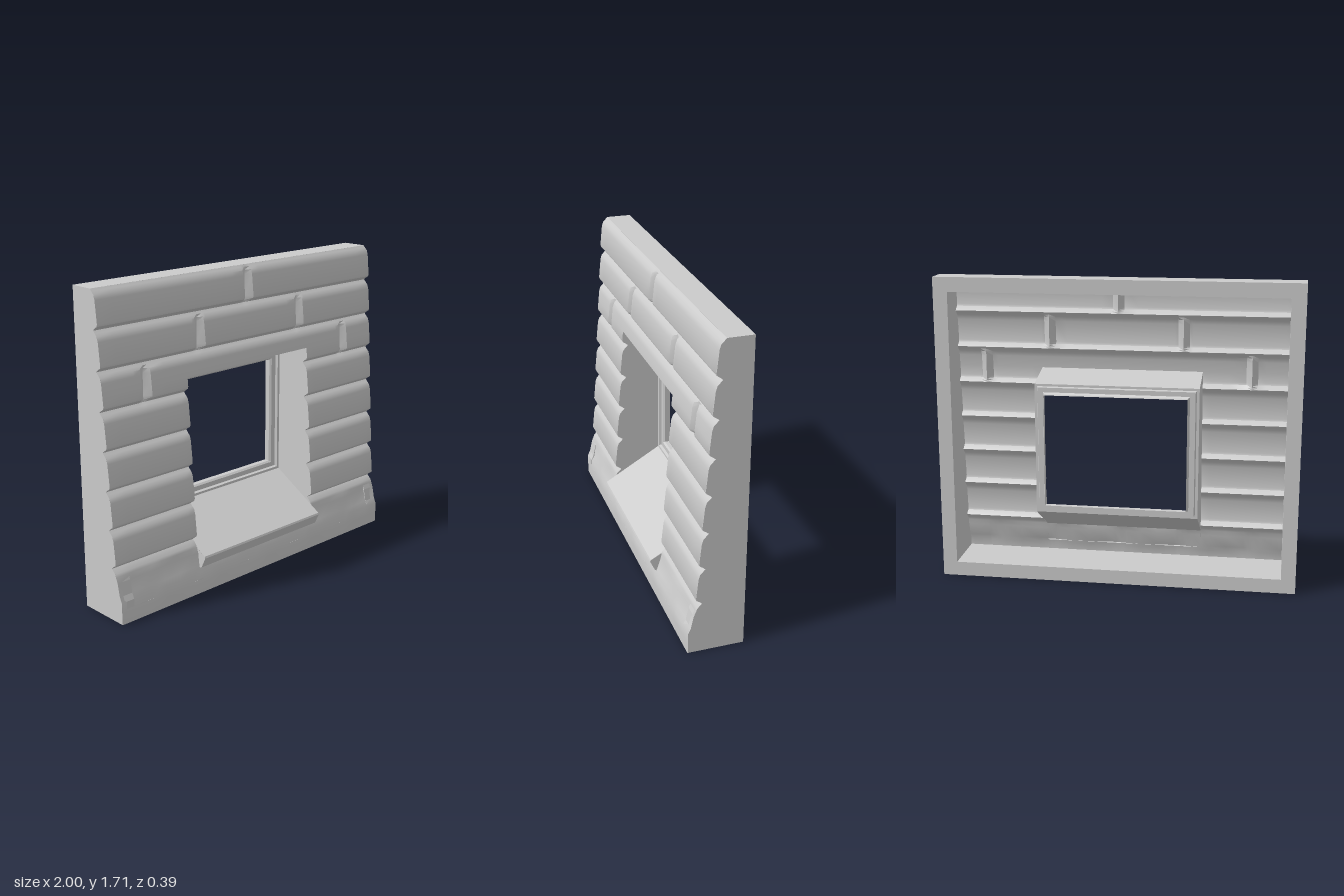
import * as THREE from 'three';
import { toCreasedNormals } from 'three/addons/utils/BufferGeometryUtils.js';

const BACK = -0.135, RIM = 0.08, TOP = 1.71;
const HOLE = { x0: -0.455, x1: 0.445, y0: 0.25, y1: 1.19 };
const FIRST = 0.29, COURSE = 0.203, COURSES = 7;

// Vertical joints between blocks, by course
const JOINTS = [[4, -0.725], [4, 0.76], [5, -0.35], [5, 0.395], [6, 0.01]];

const material = new THREE.MeshStandardMaterial({ color: 0xcccccc, side: THREE.DoubleSide });

// Side profile of the wall front as [y, z]: a base course, then leaning blocks with grooves
function wallProfile() {
  const p = [[0, 0.17], [0.06, 0.17], [0.12, 0.169], [0.15, 0.155], [0.22, 0.14], [0.265, 0.122]];
  for (let i = 0; i < COURSES; i++) {
    const y = FIRST + i * COURSE, z = 0.13 - i * 0.0132;
    p.push([y, z - 0.033], [y + 0.01, z - 0.022], [y + 0.022, z - 0.004], [y + 0.034, z],
      [y + 0.15, z - 0.012], [y + 0.175, z - 0.02], [y + 0.19, z - 0.035]);
  }
  p.push([TOP, 0.005]);
  return p;
}
const PROFILE = wallProfile();

function profileZ(y) {
  let i = 1;
  while (i < PROFILE.length - 1 && PROFILE[i][0] < y) i++;
  const [ya, za] = PROFILE[i - 1], [yb, zb] = PROFILE[i];
  return THREE.MathUtils.lerp(za, zb, (y - ya) / (yb - ya));
}

// Depth of the wall front at a point, with joints and a slightly worn base
function wallZ(x, y) {
  let z = profileZ(y);
  const course = Math.floor((y - FIRST) / COURSE + 1e-4);
  for (const [row, jx] of JOINTS) {
    const t = 1 - Math.abs(x - jx) / 0.032;
    const groove = 0.13 - row * 0.0132 - 0.036;
    if (row === course && t > 0) z = Math.min(z, THREE.MathUtils.lerp(z, groove, t));
  }
  if (y > 0.08 && y < 0.25 && Math.abs(x) < 0.99) z -= 0.005 * (1 + Math.sin(x * 17 + y * 25));
  return z;
}

// Surface from equal-length cross-sections of points
function loft(sections, closed = false) {
  const n = sections[0].length, index = [];
  for (let r = 0; r < sections.length - 1; r++) {
    for (let c = 0; c < (closed ? n : n - 1); c++) {
      const a = r * n + c, b = r * n + (c + 1) % n;
      index.push(a, b, b + n, a, b + n, a + n);
    }
  }
  const g = new THREE.BufferGeometry();
  g.setAttribute('position', new THREE.Float32BufferAttribute(sections.flat(2), 3));
  g.setIndex(index);
  return toCreasedNormals(g, 0.6);
}

function stoneFront() {
  const xs = [HOLE.x0, HOLE.x1];
  for (let i = 0; i <= 20; i++) xs.push(-1 + i * 0.1);
  for (const [, x] of JOINTS) xs.push(x - 0.032, x, x + 0.032);
  const ys = PROFILE.map(p => p[0]).concat(HOLE.y0, HOLE.y1);
  xs.sort((a, b) => a - b);
  ys.sort((a, b) => a - b);
  const pos = [], index = [], n = xs.length;
  for (const y of ys) for (const x of xs) pos.push(x, y, wallZ(x, y));
  for (let r = 0; r < ys.length - 1; r++) {
    for (let c = 0; c < n - 1; c++) {
      const mx = (xs[c] + xs[c + 1]) / 2, my = (ys[r] + ys[r + 1]) / 2;
      if (mx > HOLE.x0 && mx < HOLE.x1 && my > HOLE.y0 && my < HOLE.y1) continue;
      const a = r * n + c;
      index.push(a, a + 1, a + n + 1, a, a + n + 1, a + n);
    }
  }
  const g = new THREE.BufferGeometry();
  g.setAttribute('position', new THREE.Float32BufferAttribute(pos, 3));
  g.setIndex(index);
  return toCreasedNormals(g, 0.6);
}

// Shape in the side plane: [y, z] points, later turned so the shape's x becomes z
const sideShape = pts => new THREE.Shape(pts.map(([y, z]) => new THREE.Vector2(z, y)));

export function createModel() {
  const model = new THREE.Group();
  const add = (name, geometry, x = 0, y = 0, z = 0) => {
    const mesh = new THREE.Mesh(geometry, material);
    mesh.name = name;
    mesh.position.set(x, y, z);
    model.add(mesh);
  };

  add('stoneFront', stoneFront());

  // Rim around the hollow back
  const end = sideShape([[0, BACK], ...PROFILE.map(([y, z]) => [y, z - 0.002]), [TOP, BACK]]);
  const endGeo = new THREE.ExtrudeGeometry(end, { depth: RIM, bevelEnabled: false }).rotateY(-Math.PI / 2);
  add('leftRim', endGeo, 1);
  add('rightRim', endGeo, -1 + RIM);
  const bar = (name, y, front) => add(name,
    new THREE.BoxGeometry(2 - 2 * RIM, RIM, front - BACK), 0, y, (front + BACK) / 2);
  bar('topRim', TOP - RIM / 2, 0.004);
  bar('bottomRim', RIM / 2, 0.167);

  // Window reveal: two jambs that follow the wall profile, and a sloping ceiling
  const edge = PROFILE.filter(p => p[0] > HOLE.y0 && p[0] < HOLE.y1);
  const jamb = sideShape([[0.41, -0.14], [HOLE.y0, profileZ(HOLE.y0)], ...edge,
    [HOLE.y1, profileZ(HOLE.y1)], [1.14, -0.14]]);
  const jambGeo = new THREE.ShapeGeometry(jamb).rotateY(-Math.PI / 2);
  add('leftJamb', jambGeo, HOLE.x1);
  add('rightJamb', jambGeo, HOLE.x0);
  const strip = (pts, x0, x1) => loft(pts.map(([y, z]) => [[x0, y, z], [x1, y, z]]));
  add('revealCeiling', strip([[1.14, -0.14], [HOLE.y1, profileZ(HOLE.y1)]], HOLE.x0, HOLE.x1));

  // Sloping sill with a lip that folds back into the base course
  const sill = [[0.14, 0.15], [0.145, 0.165], [0.205, 0.194], [0.215, 0.19], [0.41, -0.14]];
  add('sill', strip(sill, HOLE.x0, HOLE.x1));
  const lip = new THREE.ShapeGeometry(sideShape([...sill.slice(0, 4), [0.25, 0.127]])).rotateY(-Math.PI / 2);
  add('leftSillEnd', lip, HOLE.x1);
  add('rightSillEnd', lip, HOLE.x0);

  // Stepped window frame, narrowing toward the back
  const rect = (inset, z) => {
    const x0 = HOLE.x0 + inset, x1 = HOLE.x1 - inset, y0 = 0.41 + inset * 0.92, y1 = 1.14 - inset * 0.85;
    return [[x0, y0, z], [x1, y0, z], [x1, y1, z], [x0, y1, z]];
  };
  add('windowFrame', loft([rect(0, -0.14), rect(0.015, -0.14), rect(0.02, -0.155),
    rect(0.05, -0.155), rect(0.06, -0.165), rect(0.06, -0.195)], true));

  return model;
}
